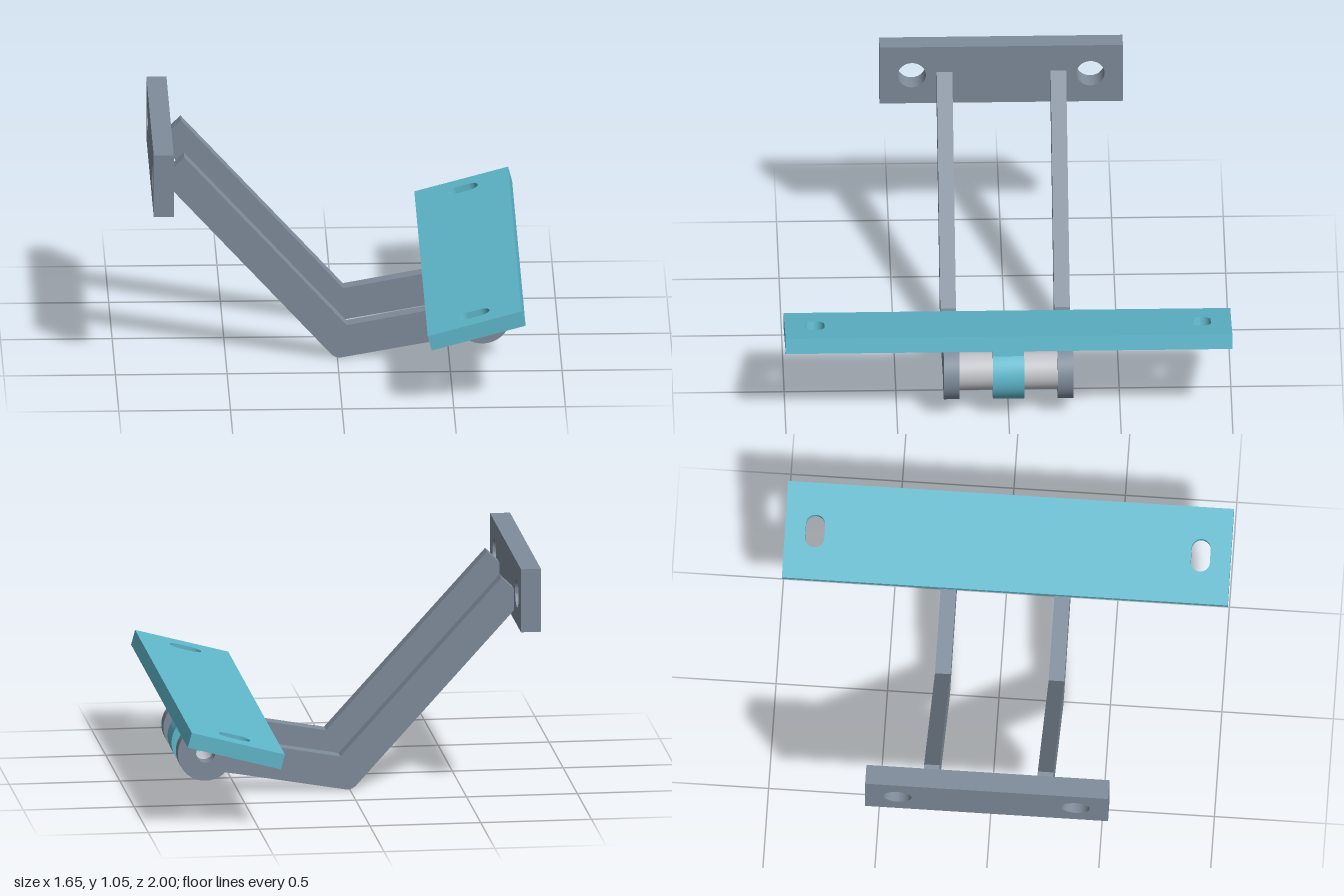
import * as THREE from 'three';
import { toCreasedNormals } from 'three/addons/utils/BufferGeometryUtils.js';

const steel = new THREE.MeshStandardMaterial({ color: 0x7f8c9b });
steel.name = 'steel grey';
const teal = new THREE.MeshStandardMaterial({ color: 0x5fb8cc });
teal.name = 'teal';
const silver = new THREE.MeshStandardMaterial({ color: 0xc2c4c9 });
silver.name = 'silver';

const PIVOT = [0.65, 0.185], RING = 0.126, BORE = 0.043, TILT = Math.PI / 12;

// Extrude a shape symmetrically about z = 0, smooth on curves and sharp on edges
function slab(shape, depth) {
  const g = new THREE.ExtrudeGeometry(shape, { depth, bevelEnabled: false, curveSegments: 24 });
  g.translate(0, 0, -depth / 2);
  return toCreasedNormals(g, 0.6);
}

function add(parent, name, geometry, material, x = 0, y = 0, z = 0) {
  const mesh = new THREE.Mesh(geometry, material);
  mesh.name = name;
  mesh.position.set(x, y, z);
  parent.add(mesh);
  return mesh;
}

function rectangle(w, h) {
  return new THREE.Shape([[-w, -h], [w, -h], [w, h], [-w, h]].map(([x, y]) => new THREE.Vector2(x / 2, y / 2)));
}

function circleHole(x, y, r) {
  return new THREE.Path().absarc(x, y, r, 0, Math.PI * 2, true);
}

function tube(radius, length) {
  const s = new THREE.Shape().absarc(0, 0, radius, 0, Math.PI * 2, false);
  s.holes.push(circleHole(0, 0, BORE));
  return slab(s, length);
}

// Bent arm outline ending in a round eye
function armShape() {
  const s = new THREE.Shape();
  s.moveTo(-0.74, 0.8);
  s.lineTo(-0.03, 0.018);
  s.quadraticCurveTo(-0.01, -0.004, 0.02, 0);
  s.absarc(PIVOT[0], PIVOT[1], RING, Math.PI * 1.253, Math.PI * 2.853, false);
  s.lineTo(0.042, 0.152);
  s.lineTo(-0.685, 0.953);
  s.lineTo(-0.74, 0.9);
  s.closePath();
  s.holes.push(circleHole(PIVOT[0], PIVOT[1], BORE));
  return s;
}

export function createModel() {
  const model = new THREE.Group();
  model.name = 'hingedBracket';

  // Wall plate with two bolt holes
  const wall = rectangle(1.09, 0.29);
  for (const side of [-1, 1]) wall.holes.push(circleHole(side * 0.4, 0, 0.063));
  add(model, 'wallPlate', slab(wall, 0.09).rotateY(Math.PI / 2), steel, -0.785, 0.905);

  // Paired arms and the spacers on the pivot
  const armGeometry = slab(armShape(), 0.07);
  const spacerGeometry = tube(0.085, 0.15);
  for (const [side, label] of [[1, 'front'], [-1, 'back']]) {
    add(model, label + 'Arm', armGeometry, steel, 0, 0, side * 0.255);
    add(model, label + 'Spacer', spacerGeometry, silver, PIVOT[0], PIVOT[1], side * 0.145);
  }

  // Tilting mount: knuckle, web and slotted plate
  const mount = new THREE.Group();
  mount.name = 'tiltingMount';
  mount.position.set(PIVOT[0], PIVOT[1], 0);
  mount.rotation.z = TILT;
  model.add(mount);
  add(mount, 'knuckle', tube(RING, 0.14), teal);
  add(mount, 'web', new THREE.BoxGeometry(0.176, 0.15, 0.14), teal, 0, 0.075);

  const plate = rectangle(0.435, 2);
  for (const side of [-1, 1]) {
    const slot = new THREE.Path();
    slot.absarc(0.03, side * 0.865, 0.043, Math.PI / 2, -Math.PI / 2, true);
    slot.absarc(-0.03, side * 0.865, 0.043, -Math.PI / 2, -Math.PI * 1.5, true);
    slot.closePath();
    plate.holes.push(slot);
  }
  add(mount, 'slottedPlate', slab(plate, 0.07).rotateX(-Math.PI / 2), teal, 0, 0.183);

  return model;
}
